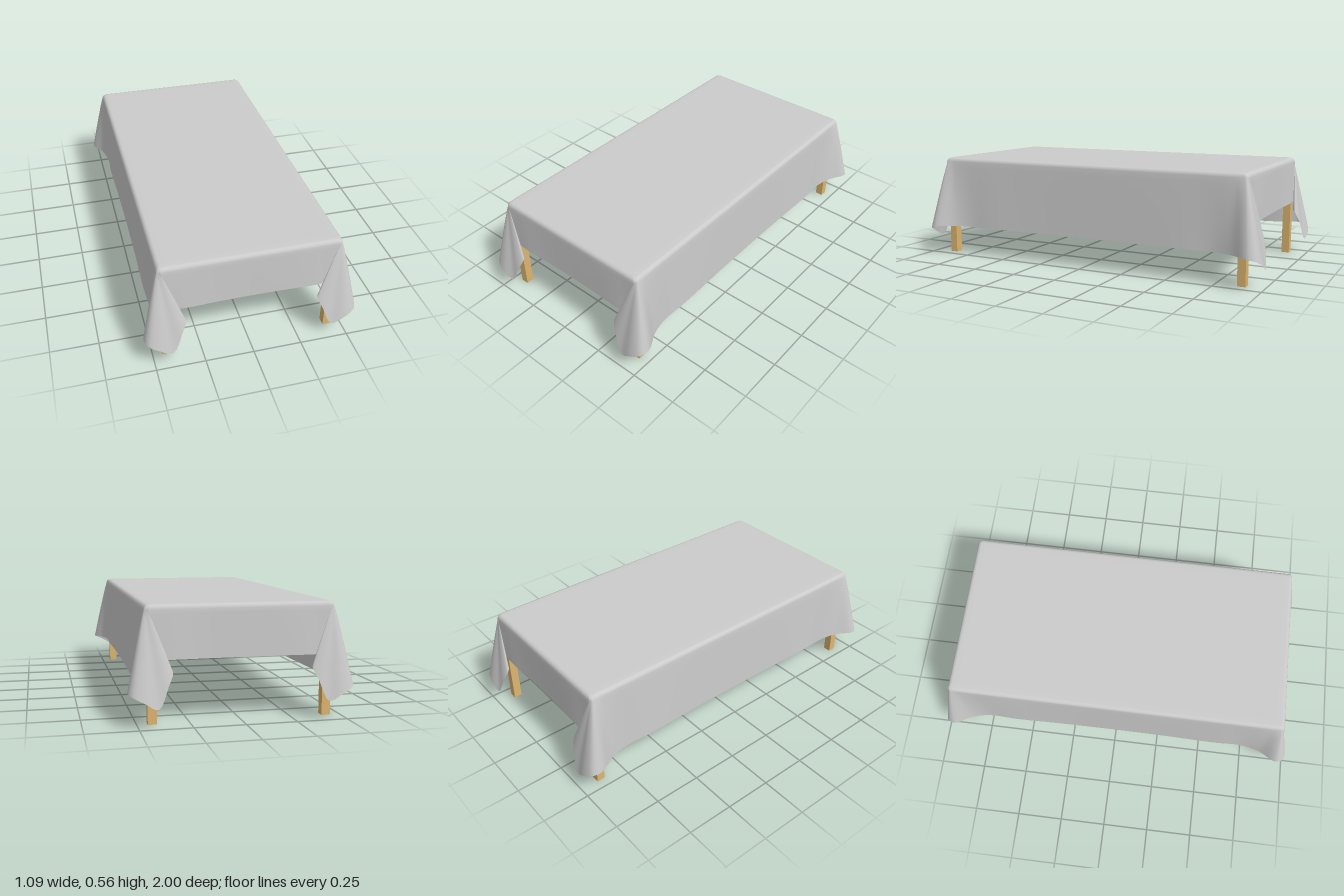
import * as THREE from 'three';

const RIM_X = 0.462, RIM_Z = 0.912, TOP = 0.56, EDGE = 0.538;

// One quarter of the cloth, from the middle of the long side round the corner
// to the middle of the short end: [rim x, rim z, hem x, hem y, hem z]
const QUARTER = [
  [0.462, 0.0, 0.473, 0.165, 0.0],
  [0.462, 0.3, 0.475, 0.165, 0.3],
  [0.462, 0.58, 0.48, 0.165, 0.58],
  [0.462, 0.75, 0.477, 0.165, 0.74],
  [0.462, 0.85, 0.5, 0.165, 0.84],
  [0.462, 0.895, 0.547, 0.162, 0.935],
  [0.461, 0.899, 0.53, 0.15, 0.98],
  [0.459, 0.903, 0.475, 0.122, 0.998],
  [0.457, 0.906, 0.41, 0.09, 0.992],   // hanging tip
  [0.454, 0.908, 0.362, 0.19, 0.975],
  [0.451, 0.91, 0.337, 0.25, 0.952],   // fold
  [0.449, 0.911, 0.35, 0.268, 0.936],
  [0.447, 0.912, 0.4, 0.287, 0.93],
  [0.445, 0.912, 0.44, 0.304, 0.922],
  [0.4, 0.912, 0.4, 0.305, 0.919],
  [0.32, 0.912, 0.32, 0.305, 0.922],
  [0.17, 0.912, 0.17, 0.305, 0.917],
  [0.0, 0.912, 0.0, 0.305, 0.915],
];

// Resample the quarter into evenly split columns of rim and hem points
function quarterColumns(split) {
  const hem = new THREE.CatmullRomCurve3(QUARTER.map(q => new THREE.Vector3(q[2], q[3], q[4])));
  const n = (QUARTER.length - 1) * split;
  const columns = [];
  for (let i = 0; i <= n; i++) {
    const k = Math.min(Math.floor(i / split), QUARTER.length - 2);
    const f = i / split - k;
    const a = QUARTER[k], b = QUARTER[k + 1];
    columns.push({
      rx: THREE.MathUtils.lerp(a[0], b[0], f),
      rz: THREE.MathUtils.lerp(a[1], b[1], f),
      hem: hem.getPoint(i / n),
    });
  }
  return columns;
}

// Points of one column: table centre, rounded edge, then down to the hem
function columnPoints({ rx, rz, hem }, sx, sz) {
  const points = [];
  const add = (x, y, z) => points.push([x * sx, y, z * sz]);
  const inset = (d, y) => add(rx * (1 - d / RIM_X), y, rz * (1 - d / RIM_Z));
  add(0, TOP, 0);
  inset(0.06, TOP);
  inset(0.022, TOP);
  inset(0.011, TOP - 0.003);
  inset(0.003, TOP - 0.011);
  const steps = 12;
  for (let i = 0; i <= steps; i++) {
    const t = i / steps, out = Math.pow(t, 0.92);
    add(
      THREE.MathUtils.lerp(rx, hem.x, out),
      THREE.MathUtils.lerp(EDGE, hem.y, t),
      THREE.MathUtils.lerp(rz, hem.z, out));
  }
  return points;
}

function clothGeometry() {
  const quarter = quarterColumns(4);
  const columns = [];
  // Mirror the quarter round the table, reversing every other one
  for (const [sx, sz, reverse] of [[1, 1, false], [-1, 1, true], [-1, -1, false], [1, -1, true]]) {
    const list = reverse ? [...quarter].reverse() : quarter;
    list.slice(0, -1).forEach(c => columns.push(columnPoints(c, sx, sz)));
  }
  const rows = columns[0].length, count = columns.length;
  const index = [];
  for (let c = 0; c < count; c++) {
    for (let r = 0; r < rows - 1; r++) {
      const a = c * rows + r, b = ((c + 1) % count) * rows + r;
      if (r > 0) index.push(a, b, a + 1);
      index.push(b, b + 1, a + 1);
    }
  }
  const geometry = new THREE.BufferGeometry();
  geometry.setAttribute('position', new THREE.Float32BufferAttribute(columns.flat(2), 3));
  geometry.setIndex(index);
  geometry.computeVertexNormals();
  return geometry;
}

export function createModel() {
  const model = new THREE.Group();
  model.name = 'tableWithCloth';
  const clothMaterial = new THREE.MeshStandardMaterial({ color: 0xcccccc, side: THREE.DoubleSide });
  const wood = new THREE.MeshStandardMaterial({ color: 0xdcb670 });

  const cloth = new THREE.Mesh(clothGeometry(), clothMaterial);
  cloth.name = 'tablecloth';
  model.add(cloth);

  // Board under the cloth
  const board = new THREE.Mesh(new THREE.BoxGeometry(0.9, 0.045, 1.81), wood);
  board.name = 'tableTop';
  board.position.y = 0.5225;
  model.add(board);

  // Four square legs
  const legGeometry = new THREE.BoxGeometry(0.043, 0.5, 0.043);
  for (const [z, end] of [[0.884, 'front'], [-0.884, 'back']]) {
    for (const [x, side] of [[0.428, 'Left'], [-0.428, 'Right']]) {
      const leg = new THREE.Mesh(legGeometry, wood);
      leg.name = `${end}${side}Leg`;
      leg.position.set(x, 0.25, z);
      model.add(leg);
    }
  }
  return model;
}
